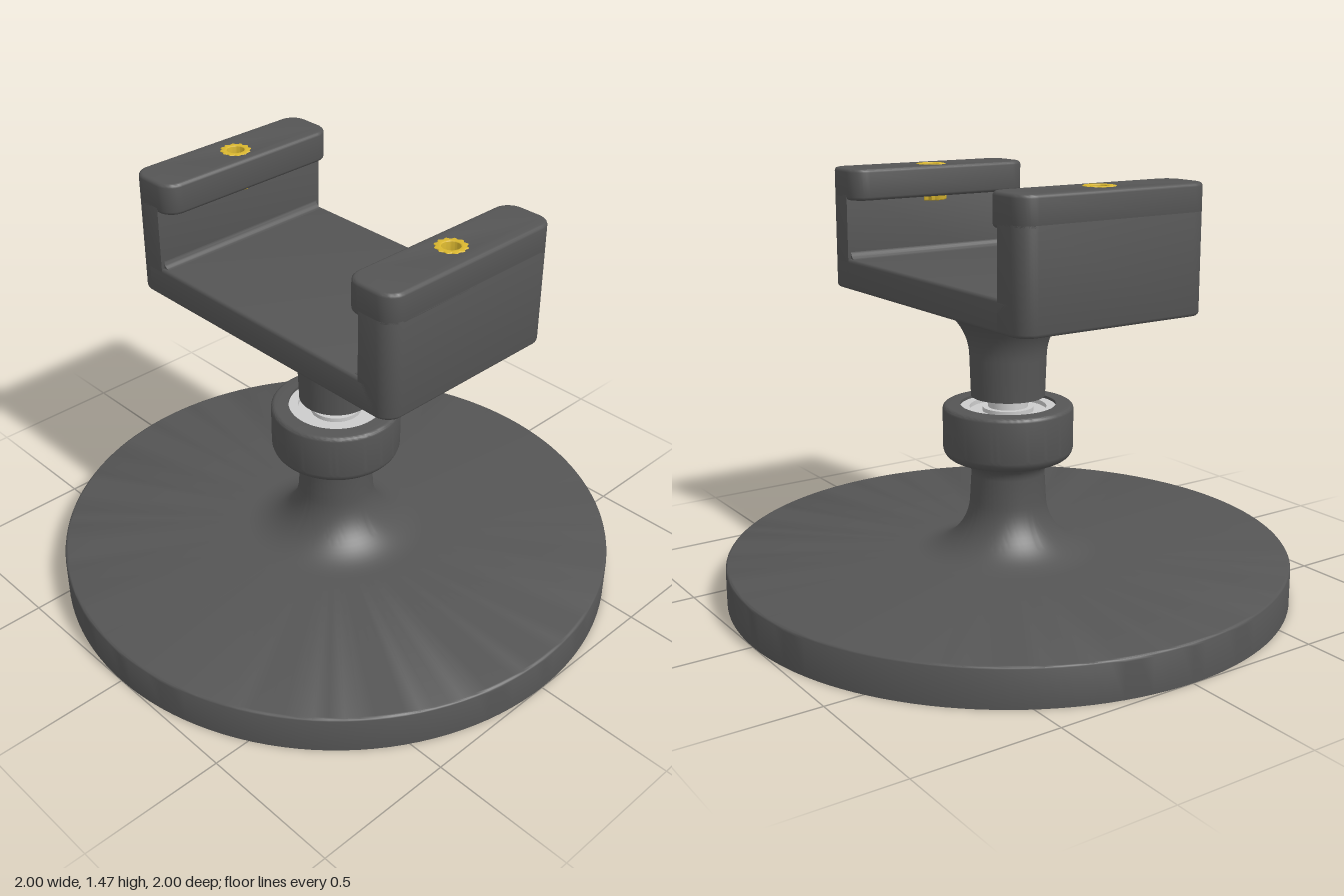
import * as THREE from 'three';
import { toCreasedNormals } from 'three/addons/utils/BufferGeometryUtils.js';

const dark = new THREE.MeshStandardMaterial({ color: 0x555555 });
const steel = new THREE.MeshStandardMaterial({ color: 0xdddddd });
const brass = new THREE.MeshStandardMaterial({ color: 0xd9b62f });
const BEVEL = 0.012;

function addMesh(parent, name, geometry, material) {
  const mesh = new THREE.Mesh(toCreasedNormals(geometry, 0.6), material);
  mesh.name = name;
  parent.add(mesh);
  return mesh;
}

// Profile points along an arc, angles in degrees
function arc(cx, cy, r, from, to, steps = 12) {
  return Array.from({ length: steps + 1 }, (_, i) => {
    const a = THREE.MathUtils.degToRad(from + ((to - from) * i) / steps);
    return [cx + r * Math.cos(a), cy + r * Math.sin(a)];
  });
}

function lathe(points, segments = 96) {
  return new THREE.LatheGeometry(points.map(([r, y]) => new THREE.Vector2(Math.max(r, 0), y)), segments);
}

// Plan rectangle with separate corner radii for its left (-x) and right (+x) ends
function planShape(x0, x1, halfZ, rLeft, rRight) {
  const pts = [];
  const corner = (cx, cy, r, from) => {
    if (r > 0) pts.push(...arc(cx, cy, r, from, from + 90, 8));
    else pts.push([cx, cy]);
  };
  corner(x0 + rLeft, -halfZ + rLeft, rLeft, 180);
  corner(x1 - rRight, -halfZ + rRight, rRight, 270);
  corner(x1 - rRight, halfZ - rRight, rRight, 0);
  corner(x0 + rLeft, halfZ - rLeft, rLeft, 90);
  return new THREE.Shape(pts.map(([x, y]) => new THREE.Vector2(x, y)));
}

// Extrudes a plan shape upwards from y0 to y1 with softened top and bottom edges
function slab(shape, y0, y1, bevel = BEVEL) {
  const geometry = new THREE.ExtrudeGeometry(shape, {
    depth: y1 - y0 - 2 * bevel, bevelEnabled: bevel > 0, bevelSize: bevel,
    bevelThickness: bevel, bevelOffset: -bevel, bevelSegments: 3, curveSegments: 24,
  });
  return geometry.rotateX(-Math.PI / 2).translate(0, y0 + bevel, 0);
}

// Threaded insert: a ring with a knurled outline
function insertShape(cx) {
  const pts = [];
  for (let i = 0; i < 72; i++) {
    const a = (i / 72) * Math.PI * 2;
    const r = 0.051 + 0.004 * Math.cos(12 * a);
    pts.push(new THREE.Vector2(cx + r * Math.cos(a), r * Math.sin(a)));
  }
  const shape = new THREE.Shape(pts);
  shape.holes.push(new THREE.Path().absarc(cx, 0, 0.03, 0, Math.PI * 2, true));
  return shape;
}

export function createModel() {
  const model = new THREE.Group();
  model.name = 'swivelStand';

  // Round foot, flared column and bearing cup in one turned body
  addMesh(model, 'base', lathe([
    [0, 0], [1, 0],
    ...arc(0.988, 0.123, 0.012, 0, 90, 4),
    ...arc(0.335, 0.335, 0.2, -90, -180, 16),
    ...arc(0.185, 0.42, 0.055, 180, 90, 8),
    ...arc(0.185, 0.52, 0.045, -90, 0, 8),
    ...arc(0.215, 0.655, 0.015, 0, 90, 4),
    [0.168, 0.67], [0.168, 0.55], [0, 0.55],
  ], 128), dark);

  // Bearing and its axle
  const bearing = new THREE.Group();
  bearing.name = 'bearing';
  model.add(bearing);
  const ring = (inner, outer, y0, y1) =>
    lathe([[inner, y0], [outer, y0], [outer, y1], [inner, y1], [inner, y0]], 64);
  addMesh(bearing, 'outerRace', ring(0.135, 0.168, 0.552, 0.66), steel);
  addMesh(bearing, 'shield', ring(0.09, 0.135, 0.552, 0.645), steel);
  addMesh(bearing, 'innerRace', ring(0.06, 0.09, 0.552, 0.66), steel);
  addMesh(bearing, 'axle', lathe([[0, 0.552], [0.07, 0.552], [0.07, 0.72], [0, 0.72]], 48), steel);

  // Turning head: flared stem under a cradle
  const head = new THREE.Group();
  head.name = 'head';
  model.add(head);
  addMesh(head, 'stem', lathe([
    [0, 0.7], [0.13, 0.7], ...arc(0.335, 0.84, 0.2, 180, 90, 16), [0.335, 1.06], [0, 1.06],
  ]), dark);
  addMesh(head, 'cradleFloor', slab(planShape(-0.54, 0.54, 0.365, 0, 0), 1.04, 1.15), dark);

  for (const [side, s] of [['left', 1], ['right', -1]]) {
    const ends = (a, b) => (s > 0 ? [a, b] : [-b, -a]);
    const radii = s > 0 ? [0, 0.06] : [0.06, 0];

    addMesh(head, side + 'Wall',
      slab(planShape(...ends(0.475, 0.605), 0.365, ...radii), 1.04, 1.39), dark);

    // Inward lip with a hole for the insert
    const lip = planShape(...ends(0.41, 0.605), 0.365, 0.06, 0.06);
    lip.holes.push(new THREE.Path().absarc(s * 0.5, 0, 0.042, 0, Math.PI * 2, true));
    addMesh(head, side + 'Lip', slab(lip, 1.36, 1.47), dark);
    addMesh(head, side + 'Insert', slab(insertShape(s * 0.5), 1.34, 1.472, 0.003), brass);

    // Small fillet between floor and wall
    const outline = [[0.02, -0.01], ...arc(-0.025, 0.025, 0.025, 0, -90, 6), [-0.025, -0.01]];
    const pts = outline.map(([x, y]) => new THREE.Vector2(s * (0.475 + x), 1.15 + y));
    const fillet = new THREE.ExtrudeGeometry(new THREE.Shape(pts), { depth: 0.706, bevelEnabled: false });
    addMesh(head, side + 'Fillet', fillet.translate(0, 0, -0.353), dark);
  }
  return model;
}
